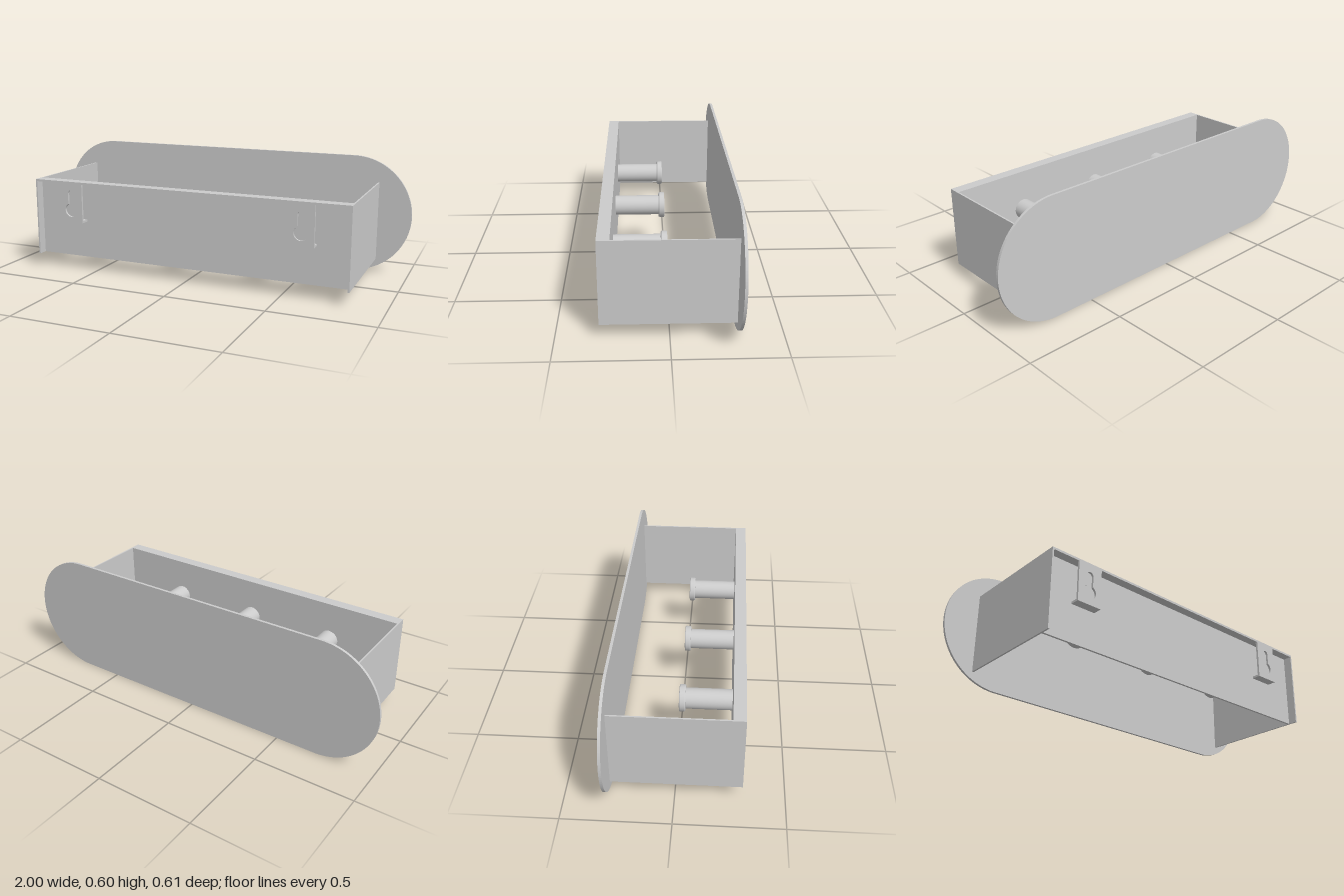
import * as THREE from 'three';

const T = 0.011; // sheet thickness
const material = new THREE.MeshStandardMaterial({ color: 0xcccccc });

export function createModel() {
  const group = new THREE.Group();

  const add = (name, geometry) => {
    const mesh = new THREE.Mesh(geometry, material);
    mesh.name = name;
    group.add(mesh);
    return mesh;
  };

  // box given by its limits on each axis
  const box = (name, x0, x1, y0, y1, z0, z1) =>
    add(name, new THREE.BoxGeometry(x1 - x0, y1 - y0, z1 - z0))
      .position.set((x0 + x1) / 2, (y0 + y1) / 2, (z0 + z1) / 2);

  const sheet = (shape, depth) =>
    new THREE.ExtrudeGeometry(shape, { depth, bevelEnabled: false, curveSegments: 32 });

  // long plate with fully rounded ends
  const stadium = new THREE.Shape();
  stadium.absarc(0.7, 0.3, 0.3, -Math.PI / 2, Math.PI / 2, false);
  stadium.absarc(-0.7, 0.3, 0.3, Math.PI / 2, Math.PI * 1.5, false);
  stadium.closePath();
  add('roundedPlate', sheet(stadium, 0.013)).position.z = -0.306;

  // shallow frame: two sides, an upright wall and its folded top edge
  const X = 0.831, bottom = 0.068, top = 0.468, front = 0.307, wall = 0.25;
  box('leftSide', X - 0.008, X, bottom, top, -0.293, front);
  box('rightSide', -X, -X + 0.008, bottom, top, -0.293, front);
  box('wall', -X + 0.008, X - 0.008, bottom, top, wall, wall + T);
  box('topFlange', -X + 0.008, X - 0.008, top - T, top, wall + T, front);

  // hanging tabs with keyholes, folded back to the wall at the bottom
  for (const x of [-0.62, 0.599]) {
    const w = 0.064, low = 0.256, high = top - T;
    const tab = new THREE.Shape([
      new THREE.Vector2(-w, low), new THREE.Vector2(w, low),
      new THREE.Vector2(w, high), new THREE.Vector2(-w, high),
    ]);
    const hole = new THREE.Path();
    const r = 0.035, s = 0.017, a = Math.asin(s / r);
    hole.absarc(0, 0.32, r, Math.PI / 2 + a, Math.PI * 2.5 - a, false);
    hole.absarc(0, 0.406, s, 0, Math.PI, false);
    hole.closePath();
    tab.holes.push(hole);
    add('keyholeTab', sheet(tab, T)).position.set(x, 0, front - T);
    box('tabLip', x - w, x + w, low, low + T, wall + T, front - T);
  }

  // three headed pegs pointing from the wall towards the plate
  const profile = [[0, 0], [0.05, 0], [0.05, 0.22], [0.06, 0.22], [0.065, 0.226],
    [0.065, 0.247], [0.062, 0.25], [0, 0.25]].map(([r, y]) => new THREE.Vector2(r, y));
  // each straight run is its own lathe so edges stay sharp
  for (const x of [-0.47, -0.003, 0.465]) {
    const peg = new THREE.Group();
    peg.name = 'peg';
    for (let i = 0; i < profile.length - 1; i++) {
      const part = new THREE.Mesh(new THREE.LatheGeometry([profile[i], profile[i + 1]], 40), material);
      part.name = 'pegSurface';
      peg.add(part);
    }
    peg.rotation.x = -Math.PI / 2;
    peg.position.set(x, 0.268, wall);
    group.add(peg);
  }

  return group;
}
